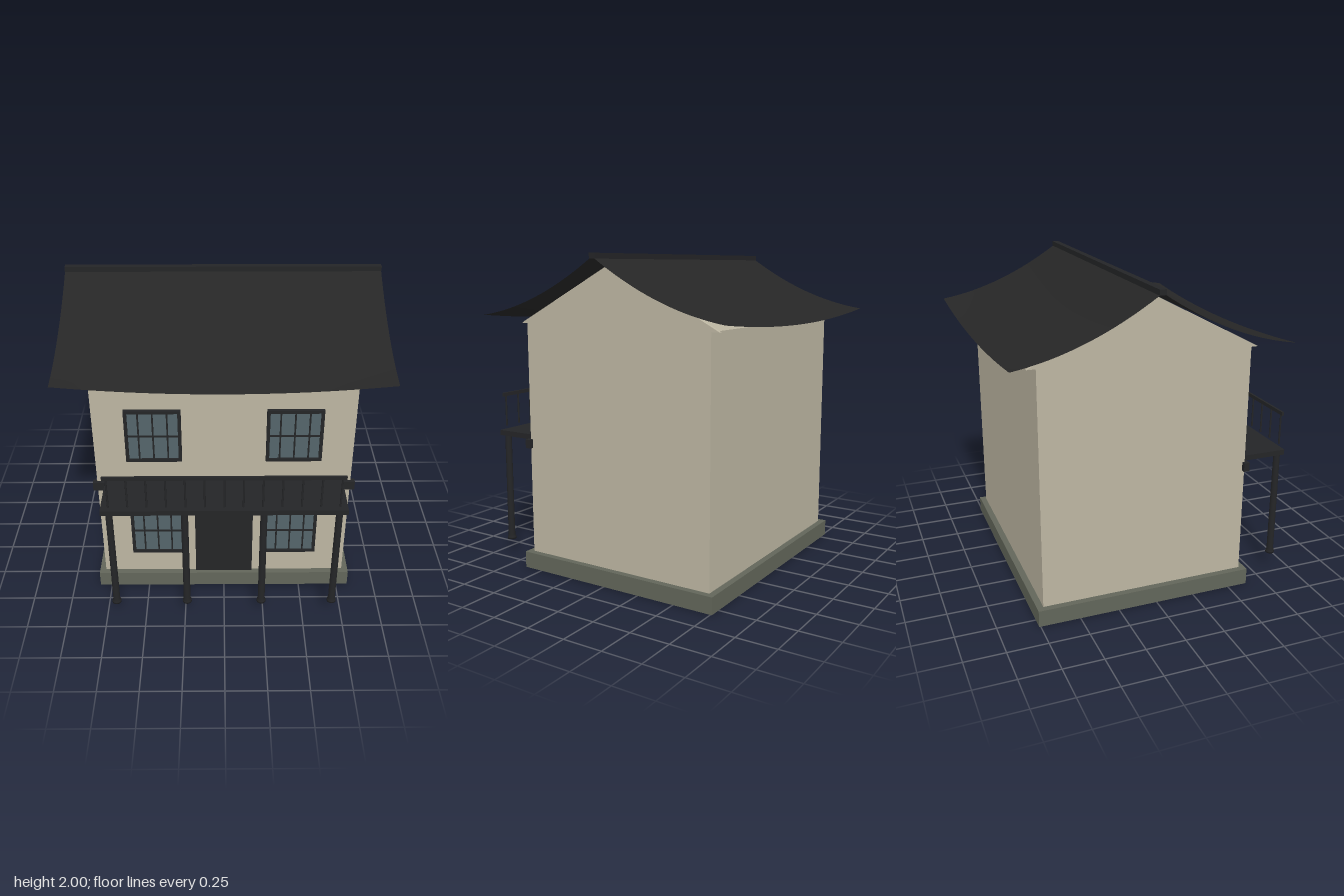
import * as THREE from 'three';

const mat = (name, color, side = THREE.FrontSide) => {
  const m = new THREE.MeshStandardMaterial({ color, side });
  m.name = name;
  return m;
};

export function createModel() {
  const plaster = mat('plaster', 0xbdb6a2);
  const stone = mat('stone', 0x62665a);
  const timber = mat('dark timber', 0x242527);
  const tile = mat('roof tile', 0x262626, THREE.DoubleSide);
  const glass = mat('glass', 0x54656a);

  const model = new THREE.Group();
  model.name = 'house';

  const add = (parent, name, geometry, material, x = 0, y = 0, z = 0) => {
    const mesh = new THREE.Mesh(geometry, material);
    mesh.name = name;
    mesh.position.set(x, y, z);
    parent.add(mesh);
    return mesh;
  };
  // Box given by its lower and upper limits on each axis
  const box = (parent, name, material, [x0, x1], [y0, y1], [z0, z1]) =>
    add(parent, name, new THREE.BoxGeometry(x1 - x0, y1 - y0, z1 - z0), material,
      (x0 + x1) / 2, (y0 + y1) / 2, (z0 + z1) / 2);
  const group = (name, x = 0, y = 0, z = 0) => {
    const g = new THREE.Group();
    g.name = name;
    g.position.set(x, y, z);
    model.add(g);
    return g;
  };

  // Plinth, walls and door
  const centreZ = -0.067;
  box(model, 'plinth', stone, [-0.827, 0.827], [0, 0.105], [-0.76, 0.63]);
  box(model, 'walls', plaster, [-0.787, 0.787], [0.105, 1.58], [-0.72, 0.592]);
  box(model, 'door', timber, [-0.185, 0.185], [0.105, 0.597], [0.585, 0.605]);

  // Gable slabs, slightly wider than the walls
  const triangle = new THREE.Shape([[-0.705, 1.58], [0.705, 1.58], [0, 1.95]]
    .map(([a, b]) => new THREE.Vector2(a, b)));
  const gable = new THREE.ExtrudeGeometry(triangle, { depth: 0.02, bevelEnabled: false });
  for (const side of [-1, 1]) {
    add(model, side > 0 ? 'leftGable' : 'rightGable', gable, plaster, side * 0.777 - 0.01, 0, centreZ)
      .rotation.y = Math.PI / 2;
  }
  for (const g of model.children.filter((c) => c.name.endsWith('Gable'))) {
    g.position.x = Math.sign(g.position.x) * 0.777 - 0.01;
  }

  // Curved roof slopes: concave towards the eave, eave corners lifted
  const run = 0.842;
  const halfWidth = 0.972;
  const slope = new THREE.PlaneGeometry(halfWidth * 2, run, 24, 16);
  slope.rotateX(-Math.PI / 2).translate(0, 0, run / 2);
  const p = slope.attributes.position;
  for (let i = 0; i < p.count; i++) {
    const t = p.getZ(i) / run;
    const u = p.getX(i) / halfWidth;
    p.setY(i, 1.98 - 0.57 * t + (0.174 + 0.05 * u * u) * t * t);
  }
  slope.computeVertexNormals();
  add(model, 'frontRoofSlope', slope, tile, 0, 0, centreZ);
  add(model, 'backRoofSlope', slope, tile, 0, 0, centreZ).rotation.y = Math.PI;
  box(model, 'ridgeBeam', timber, [-0.973, 0.973], [1.968, 2], [centreZ - 0.02, centreZ + 0.02]);

  // Windows: frame with glass and glazing bars
  const outline = (shape, w, h) => shape.moveTo(-w, -h).lineTo(w, -h).lineTo(w, h).lineTo(-w, h).closePath();
  const frameShape = outline(new THREE.Shape(), 0.17, 0.182);
  frameShape.holes.push(outline(new THREE.Path(), 0.15, 0.162));
  const frame = new THREE.ExtrudeGeometry(frameShape, { depth: 0.024, bevelEnabled: false });
  for (const x of [-0.425, 0.425]) {
    for (const y of [0.453, 1.188]) {
      const w = group('window', x, y, 0.588);
      add(w, 'windowFrame', frame, timber);
      box(w, 'windowGlass', glass, [-0.15, 0.15], [-0.162, 0.162], [0.006, 0.014]);
      for (const bx of [-0.087, 0, 0.087]) {
        box(w, 'uprightBar', timber, [bx - 0.005, bx + 0.005], [-0.162, 0.162], [0.008, 0.02]);
      }
      box(w, 'crossBar', timber, [-0.15, 0.15], [-0.005, 0.005], [0.008, 0.02]);
    }
  }

  // Balcony: wall beam, deck, railing
  const balcony = group('balcony');
  box(balcony, 'wallBeam', timber, [-0.813, 0.813], [0.79, 0.846], [0.577, 0.614]);
  box(balcony, 'deck', timber, [-0.735, 0.735], [0.828, 0.862], [0.59, 0.907]);
  box(balcony, 'handrail', timber, [-0.708, 0.708], [1.083, 1.106], [0.889, 0.903]);
  const baluster = new THREE.CylinderGeometry(0.006, 0.006, 0.205, 8);
  for (let i = 0; i < 13; i++) {
    add(balcony, 'baluster', baluster, timber, -0.684 + 0.114 * i, 0.987, 0.896);
  }

  // Columns with flared feet
  const columnProfile = [[0, 0.108], [0.029, 0.108], [0.028, 0.12], [0.022, 0.137], [0.021, 0.83]];
  const column = new THREE.LatheGeometry(columnProfile.map(([r, y]) => new THREE.Vector2(r, y)), 16);
  for (const x of [-0.685, -0.236, 0.236, 0.685]) add(model, 'column', column, timber, x, 0, 0.885);

  return model;
}
